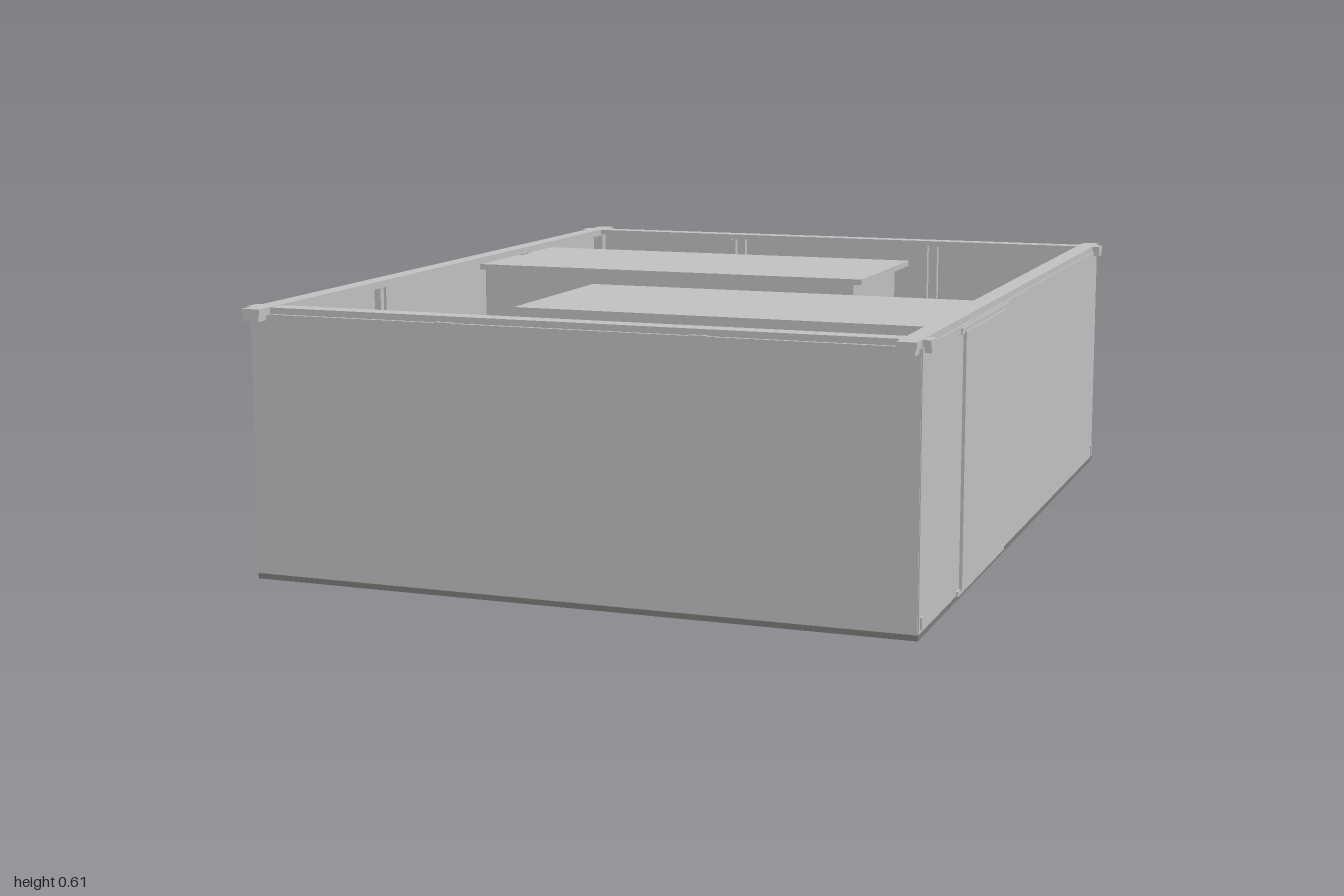
import * as THREE from 'three';

const light = new THREE.MeshStandardMaterial({ color: 0xc0c0c0 });
light.name = 'light grey';
const dark = new THREE.MeshStandardMaterial({ color: 0x7d7c7a });
dark.name = 'dark grey';

// Box given by its lower and upper limits on each axis
function box(parent, name, x0, x1, y0, y1, z0, z1, mat = light) {
  const mesh = new THREE.Mesh(new THREE.BoxGeometry(x1 - x0, y1 - y0, z1 - z0), mat);
  mesh.position.set((x0 + x1) / 2, (y0 + y1) / 2, (z0 + z1) / 2);
  mesh.name = name;
  parent.add(mesh);
  return mesh;
}

// Box mirrored to a side: near/far are distances from the centre
function side(parent, name, axis, s, near, far, y0, y1, a, b, mat) {
  const lo = Math.min(s * near, s * far), hi = Math.max(s * near, s * far);
  return axis === 'x'
    ? box(parent, name, lo, hi, y0, y1, a, b, mat)
    : box(parent, name, a, b, y0, y1, lo, hi, mat);
}

// Inner box with a projecting lid and base, passing through the side wall
function innerBox(name, bodyX, slabX, bodyZ, slabZ, top) {
  const g = new THREE.Group();
  g.name = name;
  box(g, 'boxBody', bodyX[0], bodyX[1], 0.018, top - 0.01, bodyZ[0], bodyZ[1]);
  box(g, 'boxLid', slabX[0], slabX[1], top - 0.014, top, slabZ[0], slabZ[1]);
  box(g, 'boxBase', slabX[0], slabX[1], 0.01, 0.022, slabZ[0], slabZ[1]);
  return g;
}

export function createModel() {
  const model = new THREE.Group();
  model.name = 'openCrate';

  // Floor
  box(model, 'floor', -0.75, 0.75, 0, 0.012, -0.965, 0.965, dark);

  for (const s of [-1, 1]) {
    // Walls
    side(model, 'sideWall', 'x', s, 0.733, 0.75, 0.003, 0.59, -0.96, 0.96);
    side(model, 'endWall', 'z', s, 0.942, 0.962, 0.003, 0.59, -0.748, 0.748);

    // Top rails crossing at the corners
    side(model, 'sideRail', 'x', s, 0.705, 0.747, 0.588, 0.605, -0.998, 0.998);
    side(model, 'endRail', 'z', s, 0.908, 0.953, 0.59, 0.604, -0.765, 0.765);

    // Posts on the inner faces
    for (const t of [-1, 1]) {
      for (const d of [-0.014, 0.014]) {
        const px = t * 0.285 + d, pz = t * 0.41 + d;
        side(model, 'endWallPost', 'z', s, 0.925, 0.943, 0.012, 0.588, px - 0.008, px + 0.008);
        side(model, 'sideWallPost', 'x', s, 0.717, 0.734, 0.012, 0.586, pz - 0.008, pz + 0.008);
      }
      // Corner posts, rail hooks and tabs
      const cx = t * 0.72;
      side(model, 'cornerPost', 'z', s, 0.92, 0.943, 0.012, 0.588, cx - 0.014, cx + 0.014);
      side(model, 'sideRailHook', 'x', s, 0.708, 0.744, 0.578, 0.59, t * 0.982 - 0.016, t * 0.982 + 0.016);
      side(model, 'endRailHook', 'z', s, 0.912, 0.949, 0.578, 0.592, t * 0.745 - 0.02, t * 0.745 + 0.02);
      side(model, 'railTab', 'z', s, 0.955, 0.964, 0.587, 0.592, t * 0.285 - 0.02, t * 0.285 + 0.02);
      side(model, 'baseTab', 'x', s, 0.745, 0.754, 0.02, 0.045, t * 0.945 - 0.006, t * 0.945 + 0.006);
    }
  }

  // Two boxes set into opposite side walls
  model.add(innerBox('rearBox', [-0.77, 0.28], [-0.752, 0.31], [-0.57, -0.18], [-0.6, -0.145], 0.582));
  model.add(innerBox('frontBox', [-0.245, 0.757], [-0.27, 0.754], [0.23, 0.62], [0.19, 0.645], 0.586));

  // Small loose cleats on the floor
  for (const [x, z] of [[0.52, -0.75], [0.53, 0], [-0.55, 0.37], [-0.32, 0.81]]) {
    box(model, 'cleat', x - 0.02, x + 0.02, 0.011, 0.02, z - 0.014, z + 0.014);
  }

  return model;
}
